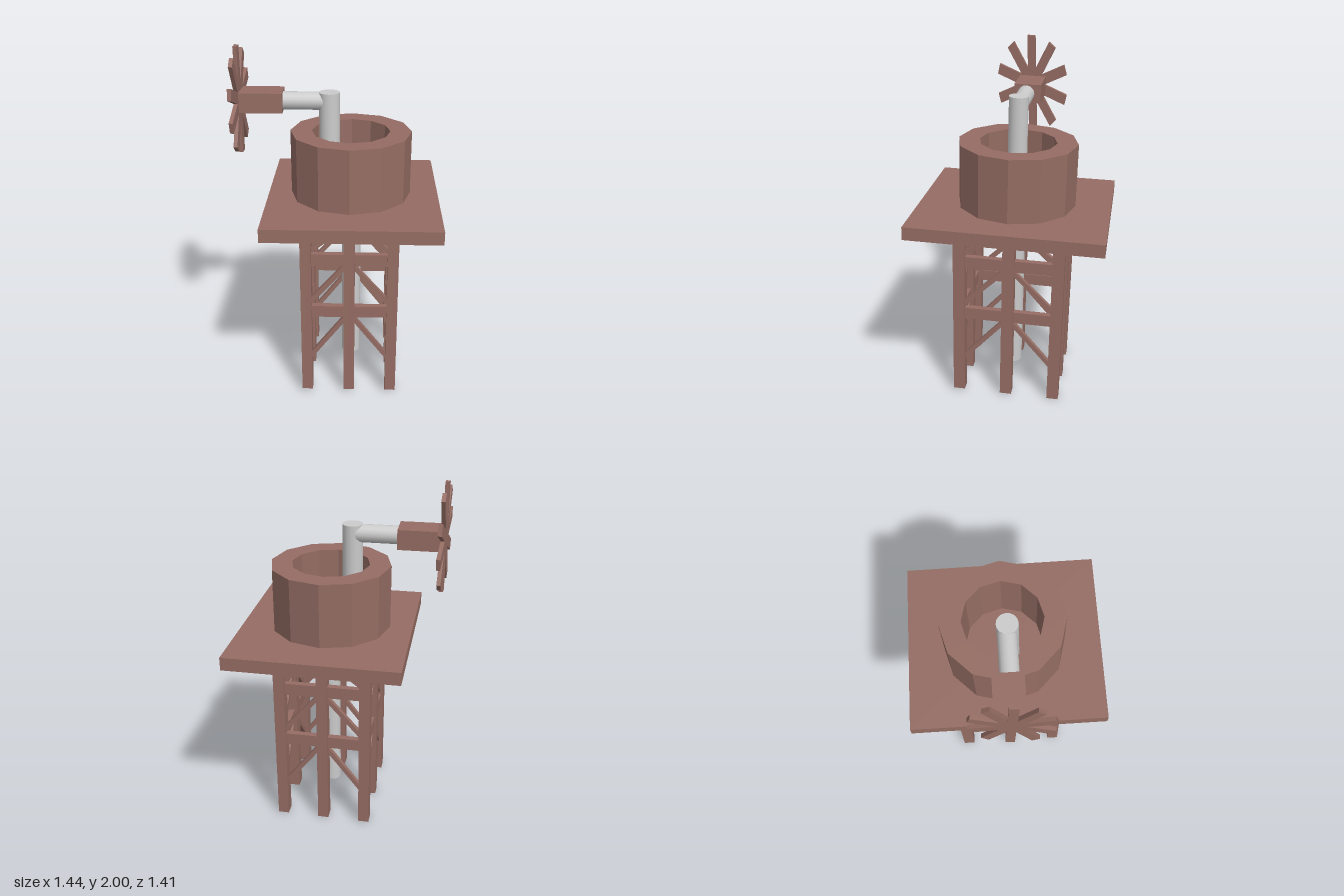
import * as THREE from 'three';

export function createModel() {
  const wood = new THREE.MeshStandardMaterial({ color: 0x956d64, flatShading: true });
  const metal = new THREE.MeshStandardMaterial({ color: 0xcccccc });
  const tower = new THREE.Group();

  const add = (parent, name, geometry, material, x, y, z) => {
    const mesh = new THREE.Mesh(geometry, material);
    mesh.name = name;
    mesh.position.set(x, y, z);
    parent.add(mesh);
    return mesh;
  };
  const box = (parent, name, w, h, d, x, y, z) =>
    add(parent, name, new THREE.BoxGeometry(w, h, d), wood, x, y, z);

  // Platform
  box(tower, 'platform', 1.087, 0.075, 0.965, 0, 1.1225, 0);

  // Everything under and on the platform sits slightly towards the back
  const body = new THREE.Group();
  body.name = 'body';
  body.position.z = -0.015;
  tower.add(body);

  // Eight legs: corners and middles of the sides
  const A = 0.285, D = 0.245;
  for (const i of [-1, 0, 1]) {
    for (const j of [-1, 0, 1]) {
      if (i || j) box(body, 'leg', 0.068, 1.085, 0.062, i * A, 0.5525, j * D);
    }
  }

  // Side frames: two beams and three pairs of diagonal braces each
  const bays = [[0.2, 0.52], [0.57, 0.85], [0.9, 1.09]];
  const sideFrame = (half, offset, angle) => {
    const frame = new THREE.Group();
    frame.name = 'sideFrame';
    frame.rotation.y = angle;
    body.add(frame);
    for (const y of [0.535, 0.865]) {
      box(frame, 'beam', 2 * half, 0.07, 0.035, 0, y, offset);
    }
    for (const [low, high] of bays) {
      for (const s of [-1, 1]) {
        const brace = box(frame, 'brace', Math.hypot(half, high - low), 0.026, 0.026,
          s * half / 2, (low + high) / 2, offset);
        brace.rotation.z = -s * Math.atan2(high - low, half);
      }
    }
  };
  sideFrame(A, D, 0);
  sideFrame(A, D, Math.PI);
  sideFrame(D, A, Math.PI / 2);
  sideFrame(D, A, -Math.PI / 2);

  // Open tank: twelve-sided ring standing on the platform
  const profile = [[0.22, 1.155], [0.34, 1.155], [0.34, 1.525], [0.22, 1.525], [0.22, 1.155]];
  add(body, 'tank', new THREE.LatheGeometry(profile.map(p => new THREE.Vector2(...p)), 12),
    wood, 0, 0, 0);

  // Pipes
  const pipe = (name, radius, length, x, y, z) =>
    add(tower, name, new THREE.CylinderGeometry(radius, radius, length, 16), metal, x, y, z);
  pipe('wellPipe', 0.055, 1.0, 0, 0.6, -0.01);
  pipe('upperPipe', 0.057, 0.6, -0.022, 1.45, -0.134);
  pipe('crossPipe', 0.05, 0.28, -0.018, 1.7, -0.274).rotation.x = Math.PI / 2;

  // Gearbox
  box(tower, 'gearbox', 0.16, 0.11, 0.235, -0.01, 1.7, -0.505);

  // Wind wheel: ten blades, narrower than tall
  const wheel = new THREE.Group();
  wheel.name = 'windWheel';
  wheel.position.set(-0.015, 1.7, -0.632);
  wheel.rotation.set(0, -0.07, 0.05);
  wheel.scale.x = 0.73;
  tower.add(wheel);
  for (let i = 0; i < 10; i++) {
    const blade = new THREE.Group();
    blade.name = 'blade';
    blade.rotation.z = i * Math.PI / 5;
    box(blade, 'bladeBoard', 0.065, 0.3, 0.022, 0, 0.15, 0);
    wheel.add(blade);
  }

  // The whole tower is turned and leans a little
  tower.name = 'windPumpTower';
  tower.rotation.order = 'YZX';
  tower.rotation.set(0.006, 0.595, -0.025);
  tower.position.set(-0.027, 0, 0.008);
  const model = new THREE.Group();
  model.name = 'windPump';
  model.add(tower);
  return model;
}
